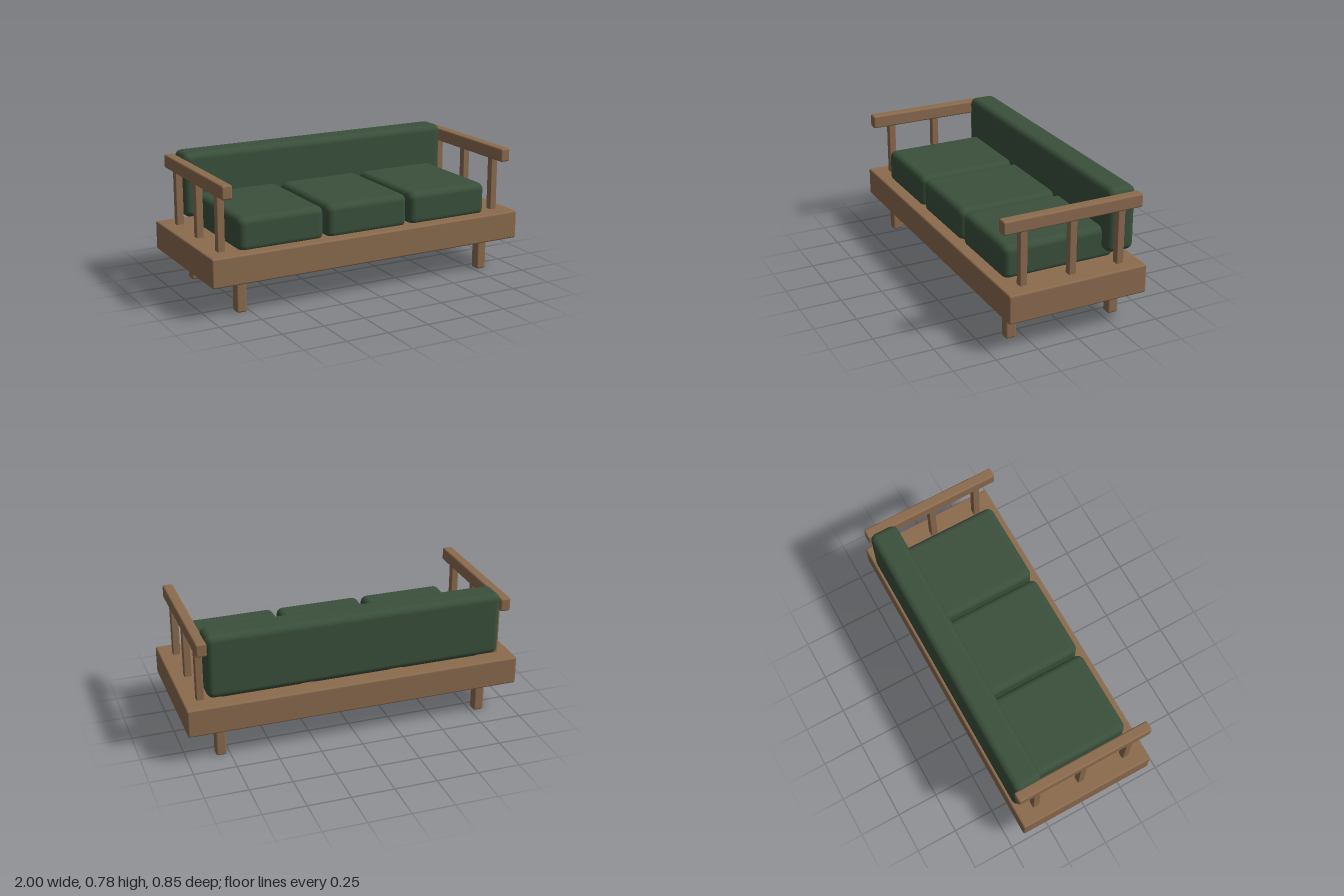
import * as THREE from 'three';
import { RoundedBoxGeometry } from 'three/addons/geometries/RoundedBoxGeometry.js';

export function createModel() {
  const sofa = new THREE.Group();
  sofa.name = 'sofa';

  const wood = new THREE.MeshStandardMaterial({ color: 0x8b6b4e });
  wood.name = 'wood';
  const fabric = new THREE.MeshStandardMaterial({ color: 0x3a503b });
  fabric.name = 'green fabric';

  // Rounded block given by its size, centre x, bottom y and centre z
  function block(name, [w, h, d], [x, bottom, z], radius, material, parent = sofa) {
    const mesh = new THREE.Mesh(new RoundedBoxGeometry(w, h, d, 4, radius), material);
    mesh.name = name;
    mesh.position.set(x, bottom + h / 2, z);
    parent.add(mesh);
  }

  // Platform
  block('platform', [2, 0.17, 0.846], [0, 0.187, 0], 0.011, wood);

  for (const side of [1, -1]) {
    const sideName = side > 0 ? 'left' : 'right';

    // Legs
    for (const end of [1, -1]) {
      block(`${sideName}${end > 0 ? 'Front' : 'Back'}Leg`,
        [0.062, 0.195, 0.064], [side * 0.8, 0, end * 0.323], 0.012, wood);
    }

    // Arm: three posts carrying a rail
    const arm = new THREE.Group();
    arm.name = `${sideName}Arm`;
    sofa.add(arm);
    for (const z of [0.298, 0, -0.298]) {
      block('armPost', [0.043, 0.34, 0.043], [side * 0.899, 0.345, z], 0.005, wood, arm);
    }
    block('armRail', [0.062, 0.08, 0.846], [side * 0.902, 0.673, 0], 0.011, wood, arm);
  }

  // Three seat cushions
  for (const i of [-1, 0, 1]) {
    block('seatCushion', [0.525, 0.2, 0.682], [i * 0.546, 0.34, 0.015], 0.04, fabric);
  }

  // Back cushion
  block('backCushion', [1.755, 0.383, 0.171], [0, 0.398, -0.33], 0.04, fabric);

  return sofa;
}
